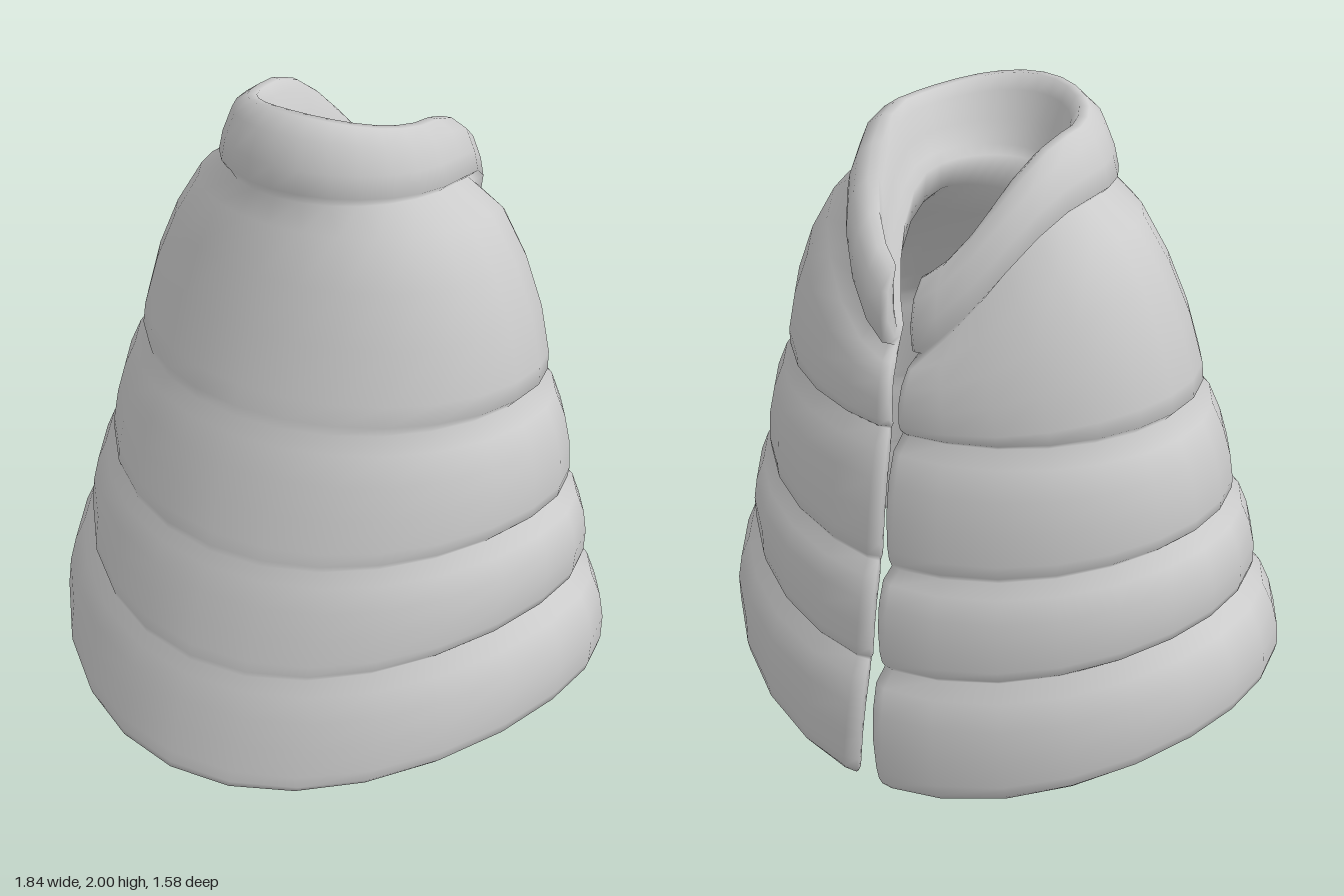
import * as THREE from 'three';

// Seams of the body, hem to neck; bulge is the puff of the band above each seam
const SEAMS = [
  { width: 0.89, back: 0.77, ySide: 0.25, yFront: 0.06, yBack: 0, droop: 2, thick: 0.025, gap: 0.05, bulge: 0.07 },
  { width: 0.81, back: 0.715, ySide: 0.555, yFront: 0.4, yBack: 0.39, droop: 2, thick: 0.03, gap: 0.03, bulge: 0.06 },
  { width: 0.75, back: 0.66, ySide: 0.825, yFront: 0.735, yBack: 0.71, droop: 2, thick: 0.03, gap: 0.025, bulge: 0.06 },
  { width: 0.65, back: 0.59, ySide: 1.165, yFront: 1.14, yBack: 1.12, droop: 2, thick: 0.03, gap: 0.025, bulge: 0.11 },
  { width: 0.365, back: 0.535, ySide: 1.765, yFront: 1.765, yBack: 1.345, droop: 2.7, thick: 0.32, gap: 0.045, bulge: 0 },
];

// Padded collar, base to rim
const COLLAR = [
  { width: 0.392, back: 0.565, ySide: 1.79, yFront: 1.795, yBack: 1.365, droop: 2.6, thick: 0.2, gap: 0.04, front: 0.252 },
  { width: 0.375, back: 0.572, ySide: 1.85, yFront: 1.865, yBack: 1.44, droop: 2.4, thick: 0.16, gap: 0.04, front: 0.248 },
  { width: 0.345, back: 0.562, ySide: 1.92, yFront: 1.95, yBack: 1.52, droop: 2.2, thick: 0.1, gap: 0.045, front: 0.22 },
  { width: 0.3, back: 0.525, ySide: 1.95, yFront: 2, yBack: 1.575, droop: 2, thick: 0.03, gap: 0.05, front: 0.175 },
];

// Ring inside a puffed band, u running from its lower seam (0) to its upper seam (1)
function bandRing(lower, upper, u) {
  const mix = (key, k = u) => THREE.MathUtils.lerp(lower[key], upper[key], k);
  const puff = u > 0 && u < 1 ? Math.pow(Math.sin(Math.PI * Math.pow(u, 1.3)), 0.35) : 0;
  const yFront = mix('yFront');
  return {
    width: mix('width') + lower.bulge * puff,
    back: mix('back') + Math.min(lower.bulge * 0.6, 0.04) * puff,
    front: 0.793 - (yFront - 0.07) * 0.327 + 0.01 * puff, // straight slope down the front
    ySide: mix('ySide'),
    yFront,
    yBack: mix('yBack'),
    droop: mix('droop'),
    thick: mix('thick', u * u) + 0.85 * lower.bulge * puff, // keeps the lining smooth
    gap: mix('gap') - 0.016 * puff,
  };
}

function makeRings() {
  const rings = [];
  for (let b = 0; b < SEAMS.length - 1; b++) {
    for (const u of [0, 0.05, 0.15, 0.4, 0.65, 0.88]) {
      rings.push(bandRing(SEAMS[b], SEAMS[b + 1], u));
    }
  }
  // the lining is narrowest just below the neck seam
  rings.push({ ...bandRing(SEAMS[3], SEAMS[4], 1), thick: 0.2 });
  return rings.concat(COLLAR);
}

// Point on one ring at s in [-1, 1]; s = 0 is the front, both ends meet the back slit
function ringPoint(ring, s, inner) {
  const roll = Math.abs(s) === 1 ? 0.3 : 0; // rolls the slit edges over
  const backThick = Math.min(ring.thick, 0.05);
  const t = ring.thick * (inner ? 1 - roll * 0.5 : roll * 0.5);
  const tb = backThick * (inner ? 1 - roll : roll);
  const w = ring.width - t;
  const centre = -0.07 - 0.035 * ring.ySide;
  const angle = s * (Math.PI - Math.asin(ring.gap / w));
  const c = Math.cos(angle);
  const z = centre + (c > 0 ? ring.front - 0.9 * t - centre : centre + ring.back - tb) * c;
  const y = c > 0
    ? ring.ySide + (ring.yFront - ring.ySide) * c * c
    : ring.ySide + (ring.yBack - ring.ySide) * Math.pow(-c, ring.droop);
  return [w * Math.sin(angle), y, z];
}

function buildShell() {
  const rings = makeRings();
  const n = rings.length, loop = n * 2, steps = 26;
  const columns = [];
  for (let k = 0; k <= steps; k++) columns.push(-1 + 2 * k / steps);
  // extra columns beside the slit for a rounded edge
  columns.splice(1, 0, -0.985);
  columns.splice(columns.length - 1, 0, 0.985);

  const positions = [], index = [];
  for (const s of columns) {
    for (let i = 0; i < n; i++) positions.push(...ringPoint(rings[i], s, false));
    for (let i = n - 1; i >= 0; i--) positions.push(...ringPoint(rings[i], s, true));
  }
  const quad = (a, b, c, d) => index.push(a, b, c, a, c, d);

  // outside, rim, lining and hem
  for (let j = 0; j < columns.length - 1; j++) {
    for (let i = 0; i < loop; i++) {
      const k = (i + 1) % loop;
      quad(j * loop + i, (j + 1) * loop + i, (j + 1) * loop + k, j * loop + k);
    }
  }
  // slit edges
  const last = (columns.length - 1) * loop;
  for (let i = 0; i < n - 1; i++) {
    const a = i, b = i + 1, c = loop - 2 - i, d = loop - 1 - i;
    quad(a, b, c, d);
    quad(last + b, last + a, last + d, last + c);
  }

  const geometry = new THREE.BufferGeometry();
  geometry.setAttribute('position', new THREE.Float32BufferAttribute(positions, 3));
  geometry.setIndex(index);
  geometry.computeVertexNormals();
  return geometry;
}

export function createModel() {
  const group = new THREE.Group();
  group.name = 'quiltedCape';
  const fabric = new THREE.MeshStandardMaterial({ color: 0xcccccc, side: THREE.DoubleSide });
  fabric.name = 'light grey fabric';
  const shell = new THREE.Mesh(buildShell(), fabric);
  shell.name = 'capeShell';
  group.add(shell);
  return group;
}
